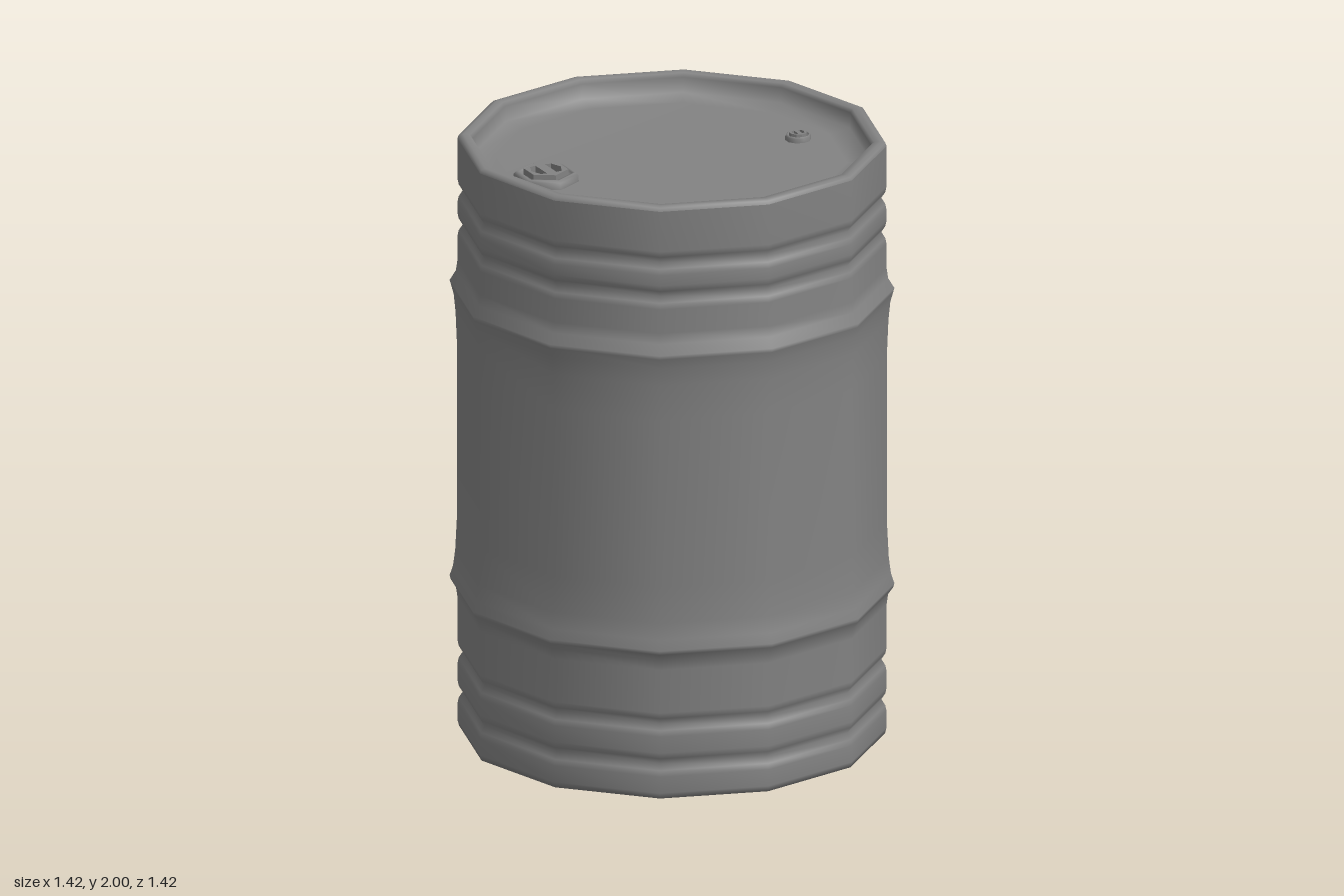
import * as THREE from 'three';

const SIDES = 12;
const LID_Y = 1.925;
const material = new THREE.MeshStandardMaterial({ color: 0x838383 });

function lathe(name, points, sides) {
  const profile = points.map(([r, y]) => new THREE.Vector2(r, y));
  const mesh = new THREE.Mesh(new THREE.LatheGeometry(profile, sides), material);
  mesh.name = name;
  return mesh;
}

// Profile of a shallow groove pressed into the wall
function groove(y) {
  return [[0.685, y - 0.04], [0.681, y - 0.02], [0.668, y], [0.681, y + 0.02], [0.685, y + 0.04]];
}

// Screw cap: a collar with a plug that has two D-shaped grip pockets
function createBung(name, r, h, sides) {
  const group = new THREE.Group();
  group.name = name;
  group.add(lathe(name + 'Collar', [
    [r, 0], [r * 0.98, h * 0.55], [r * 0.9, h * 0.75], [r * 0.8, h * 0.7], [r * 0.74, h * 0.3], [0, h * 0.3],
  ], sides));

  const outline = new THREE.Shape();
  for (let i = 0; i < sides; i++) {
    const a = (i / sides) * Math.PI * 2 + Math.PI / 2;
    const x = Math.cos(a) * r * 0.68;
    const y = Math.sin(a) * r * 0.68;
    if (i === 0) outline.moveTo(x, y);
    else outline.lineTo(x, y);
  }
  outline.closePath();
  for (const side of [-1, 1]) {
    const pocket = new THREE.Path();
    pocket.moveTo(side * r * 0.16, -r * 0.4);
    pocket.lineTo(side * r * 0.36, -r * 0.36);
    pocket.lineTo(side * r * 0.5, 0);
    pocket.lineTo(side * r * 0.36, r * 0.36);
    pocket.lineTo(side * r * 0.16, r * 0.4);
    pocket.closePath();
    outline.holes.push(pocket);
  }
  const geometry = new THREE.ExtrudeGeometry(outline, { depth: h * 0.7, bevelEnabled: false });
  geometry.rotateX(-Math.PI / 2);
  const plug = new THREE.Mesh(geometry, material);
  plug.name = name + 'Plug';
  plug.position.y = h * 0.3;
  group.add(plug);
  return group;
}

export function createModel() {
  const drum = new THREE.Group();
  drum.name = 'drum';

  // Wall from base to rim, with grooves and two rolling hoops
  drum.add(lathe('body', [
    [0, 0], [0.6, 0], [0.68, 0.006], [0.685, 0.025],
    ...groove(0.12), ...groove(0.255),
    [0.685, 0.44], [0.69, 0.475], [0.706, 0.498], [0.71, 0.512], [0.699, 0.545], [0.692, 0.6], [0.686, 0.72],
    [0.686, 1.28], [0.691, 1.4], [0.697, 1.46], [0.706, 1.493], [0.71, 1.507], [0.69, 1.54], [0.685, 1.575],
    ...groove(1.695), ...groove(1.81),
    [0.685, 1.985],
  ], SIDES));

  // Rounded rim, its inner wall and the sunken lid
  drum.add(lathe('rimAndLid', [
    [0.685, 1.985], [0.681, 1.996], [0.667, 2], [0.645, 1.998], [0.637, 1.985],
    [0.634, 1.935], [0.56, LID_Y], [0, LID_Y],
  ], SIDES));

  const largeBung = createBung('largeBung', 0.105, 0.04, 6);
  largeBung.position.set(-0.45, LID_Y, 0);
  const smallBung = createBung('smallBung', 0.042, 0.025, 10);
  smallBung.position.set(0.45, LID_Y, 0);
  drum.add(largeBung, smallBung);

  return drum;
}
